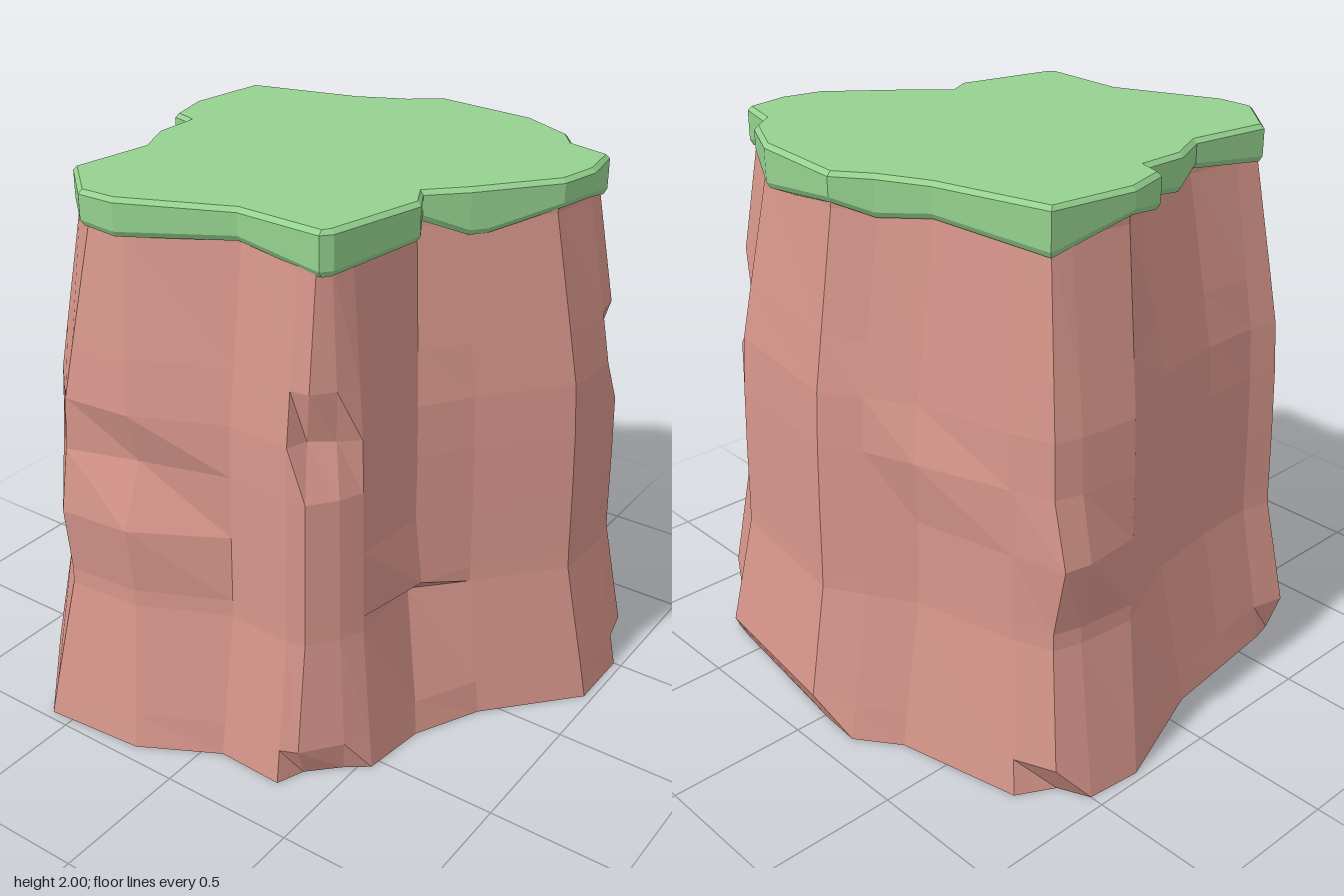
import * as THREE from 'three';

// Columns around the rock: [bottom x, bottom z, top x, top z]
const columns = [
  [-0.97, -0.59, -0.75, -0.43], [-0.76, -0.78, -0.61, -0.60], [-0.63, -0.75, -0.52, -0.58],
  [-0.38, -0.78, -0.31, -0.56], [-0.12, -0.81, 0.0, -0.62], [0.30, -0.97, 0.20, -0.76],
  [0.50, -0.95, 0.42, -0.735], [0.62, -0.91, 0.49, -0.72], [0.68, -0.77, 0.53, -0.58],
  [0.78, -0.32, 0.59, -0.32], [0.89, -0.17, 0.67, -0.15], [0.96, -0.02, 0.76, -0.03],
  [0.89, 0.58, 0.67, 0.44], [0.78, 0.69, 0.59, 0.54], [0.71, 0.75, 0.54, 0.59],
  [0.63, 0.94, 0.50, 0.74], [0.50, 0.97, 0.40, 0.76], [0.25, 0.97, 0.20, 0.74],
  [-0.06, 0.69, -0.04, 0.54], [-0.30, 0.57, -0.16, 0.43], [-0.54, 0.54, -0.50, 0.42],
  [-0.63, 0.49, -0.58, 0.40], [-0.77, 0.38, -0.62, 0.37], [-0.80, 0.32, -0.62, 0.30],
  [-0.79, 0.07, -0.60, 0.07], [-0.94, -0.21, -0.74, -0.29],
];

// Height of each ring and how far it has moved from bottom to top outline
const levels = [
  [0, 0], [0.13, 0.1], [0.55, 0.44], [0.61, 0.45], [0.86, 0.47],
  [1.09, 0.5], [1.28, 0.55], [1.47, 0.69], [1.88, 1], [1.95, 1],
];

// Chips, ledges and notches: [column, level, dx, dz]
const chips = [
  [1, 0, 0.05, 0.05], [7, 0, -0.07, 0.07], [11, 0, -0.08, 0], [12, 0, -0.09, 0],
  [15, 0, -0.04, -0.06], [21, 0, 0.03, -0.03], [22, 0, 0.07, -0.02],
  [19, 2, 0.02, -0.04], [19, 3, 0, 0.03],
  [6, 4, 0, -0.04], [7, 4, 0, -0.05], [0, 4, -0.03, 0], [25, 4, -0.03, 0],
  [25, 5, 0.06, 0], [9, 5, 0.03, -0.02],
  [15, 6, -0.03, -0.08], [21, 6, 0.03, -0.03], [22, 6, 0.06, -0.04],
];

// Grass outline with the height of its ragged lower edge: [x, z, y]
const grassEdge = [
  [-0.61, -0.62, 1.87], [-0.31, -0.58, 1.90], [-0.16, -0.65, 1.87], [0.01, -0.65, 1.89],
  [0.035, -0.735, 1.88], [0.20, -0.78, 1.91], [0.51, -0.74, 1.84], [0.61, -0.33, 1.88],
  [0.69, -0.16, 1.86], [0.775, -0.04, 1.90], [0.74, 0.34, 1.85], [0.64, 0.54, 1.90],
  [0.56, 0.60, 1.90], [0.515, 0.76, 1.86], [0.35, 0.79, 1.90], [0.20, 0.76, 1.90],
  [0.0, 0.60, 1.84], [-0.05, 0.56, 1.84], [-0.16, 0.45, 1.90], [-0.25, 0.50, 1.87],
  [-0.60, 0.42, 1.85], [-0.635, 0.39, 1.85], [-0.62, 0.07, 1.89], [-0.775, -0.30, 1.87],
  [-0.775, -0.44, 1.88],
];

// Joins rings of points from bottom to top and closes both ends
function loft(rings) {
  const n = rings[0].length;
  const index = [];
  for (let r = 0; r < rings.length - 1; r++) {
    for (let i = 0; i < n; i++) {
      const a = r * n + i, b = r * n + (i + 1) % n;
      index.push(a, a + n, b + n, a, b + n, b);
    }
  }
  const closeEnd = (r, up) => {
    const pts = rings[r].map(p => new THREE.Vector2(p.x, p.z));
    for (const [a, b, c] of THREE.ShapeUtils.triangulateShape(pts, [])) {
      const area = THREE.ShapeUtils.area([pts[a], pts[b], pts[c]]);
      const tri = (area < 0) === up ? [a, b, c] : [a, c, b];
      index.push(...tri.map(k => r * n + k));
    }
  };
  closeEnd(0, false);
  closeEnd(rings.length - 1, true);

  const indexed = new THREE.BufferGeometry().setFromPoints(rings.flat());
  indexed.setIndex(index);
  const geometry = indexed.toNonIndexed();
  geometry.computeVertexNormals();
  return geometry;
}

// Moves an outline point inwards, square to its neighbours
function inset(list, i, d) {
  const n = list.length;
  const p = list[(i + n - 1) % n], q = list[(i + 1) % n];
  const dx = q[0] - p[0], dz = q[1] - p[1], len = Math.hypot(dx, dz);
  return [list[i][0] - dz / len * d, list[i][1] + dx / len * d];
}

function addPart(group, name, geometry, color) {
  const mesh = new THREE.Mesh(geometry, new THREE.MeshStandardMaterial({ color, flatShading: true }));
  mesh.name = name;
  group.add(mesh);
}

export function createModel() {
  const group = new THREE.Group();
  group.name = 'grassyCliff';

  // Rock pillar
  const rock = levels.map(([y, t]) => columns.map(([bx, bz, tx, tz]) =>
    new THREE.Vector3(bx + (tx - bx) * t, y, bz + (tz - bz) * t)));
  for (const [c, l, dx, dz] of chips) {
    rock[l][c].x += dx;
    rock[l][c].z += dz;
  }
  addPart(group, 'rock', loft(rock), 0xd6958a);

  // Grass cap: ragged lip, upright edge and a small bevel round the top
  const grassRing = (d, height) => grassEdge.map((p, i) => {
    const [x, z] = inset(grassEdge, i, d);
    return new THREE.Vector3(x, height(p[2]), z);
  });
  const grass = [
    grassRing(0.012, y => y),
    grassRing(0, y => y + 0.02),
    grassRing(0, () => 1.985),
    grassRing(0.015, () => 2),
  ];
  addPart(group, 'grassCap', loft(grass), 0x95d28f);

  return group;
}
